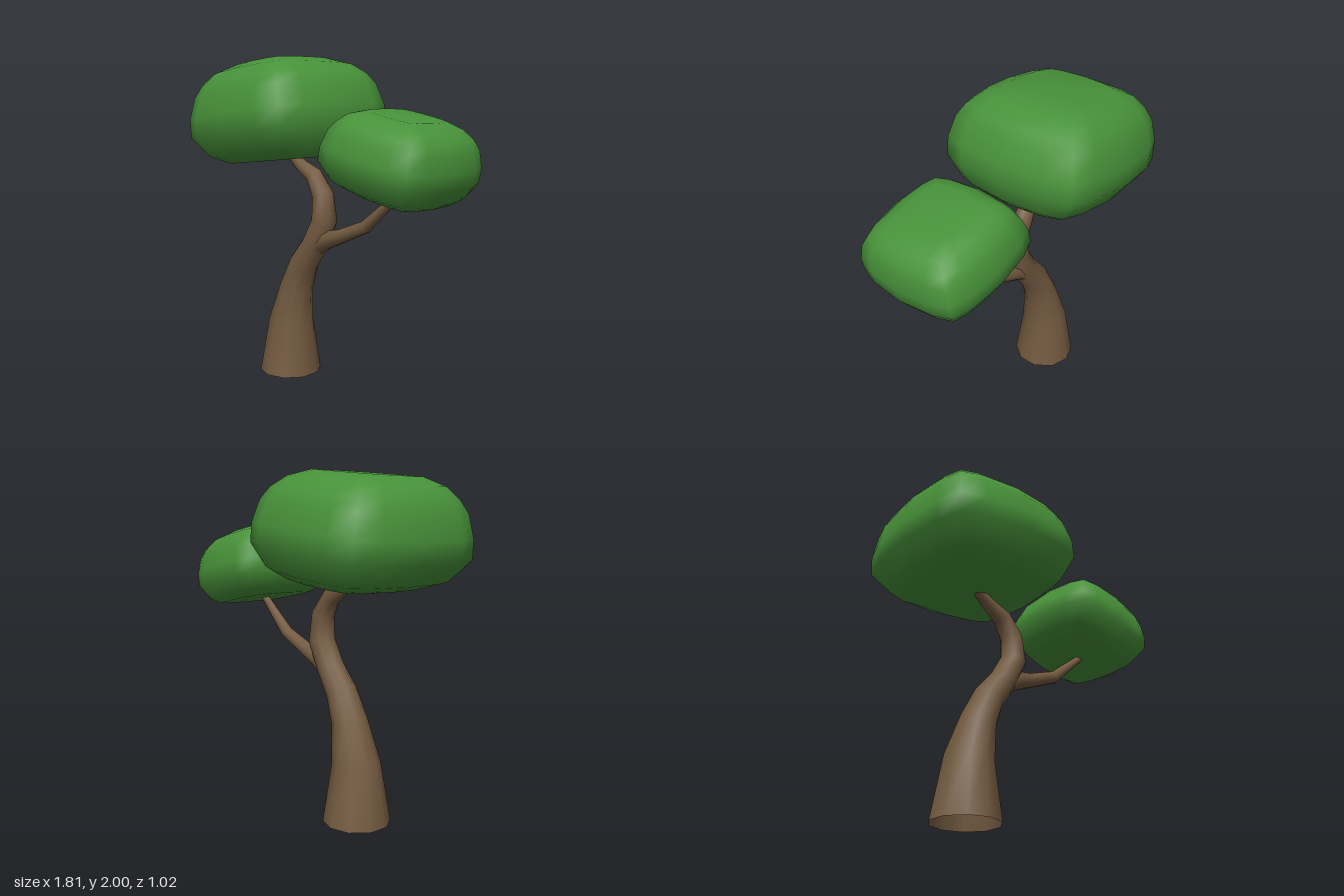
import * as THREE from 'three';

const bark = new THREE.MeshStandardMaterial({ color: 0x735a40, side: THREE.DoubleSide });
bark.name = 'bark brown';
const leaf = new THREE.MeshStandardMaterial({ color: 0x48923a });
leaf.name = 'leaf green';

// Skin a stack of equal-length rings (bottom to top) with smooth normals
function loft(rings) {
  const n = rings[0].length;
  const index = [];
  for (let i = 0; i < rings.length - 1; i++) {
    for (let j = 0; j < n; j++) {
      const k = (j + 1) % n;
      const a = i * n + j, b = i * n + k, c = a + n, d = b + n;
      index.push(a, b, d, a, d, c);
    }
  }
  const geometry = new THREE.BufferGeometry();
  geometry.setAttribute('position', new THREE.Float32BufferAttribute(rings.flat(2), 3));
  geometry.setIndex(index);
  geometry.computeVertexNormals();
  return geometry;
}

// Tapered limb along [x, y, radius] stations in the z = 0 plane
function limb(name, stations, sides, startUpright) {
  const rings = stations.map(([x, y, r], i) => {
    const p = stations[Math.max(i - 1, 0)];
    const q = stations[Math.min(i + 1, stations.length - 1)];
    const t = new THREE.Vector2(q[0] - p[0], q[1] - p[1]).normalize();
    if (i === 0 && startUpright) t.set(0, 1);
    return Array.from({ length: sides }, (_, j) => {
      const a = ((j + 0.5) / sides) * Math.PI * 2;
      const s = r * Math.cos(a);
      return [x + t.y * s, y - t.x * s, -r * Math.sin(a)];
    });
  });
  const mesh = new THREE.Mesh(loft(rings), bark);
  mesh.name = name;
  return mesh;
}

// Cushion-shaped leaf mass: a bulging square plan scaled up a rounded profile
function crown(name, x, y, size, tilt) {
  const quarter = [[1, 0], [0.945, 0.56], [0.845, 0.845], [0.56, 0.945]];
  const plan = [];
  for (let q = 0; q < 4; q++) {
    for (const [u, v] of quarter) {
      const [a, b] = [[u, v], [-v, u], [-u, -v], [v, -u]][q];
      plan.push([a, -b]);
    }
  }
  // [height, half width, x shift]
  const profile = [
    [-0.293, 0, 0.04], [-0.293, 0.335, 0.04], [-0.245, 0.425, 0.01],
    [-0.115, 0.512, -0.008], [0.0, 0.51, -0.005], [0.13, 0.475, -0.005],
    [0.2, 0.43, -0.005], [0.264, 0.36, -0.015], [0.307, 0.25, -0.015], [0.307, 0, -0.015],
  ];
  const rings = profile.map(([h, r, shift]) => plan.map(([u, v]) => [u * r + shift, h, v * r]));
  const mesh = new THREE.Mesh(loft(rings), leaf);
  mesh.name = name;
  mesh.position.set(x, y, 0);
  mesh.scale.setScalar(size);
  mesh.rotation.z = THREE.MathUtils.degToRad(tilt);
  return mesh;
}

export function createModel() {
  const tree = new THREE.Group();
  tree.name = 'tree';
  tree.add(
    // curved trunk, open at the ground
    limb('trunk', [
      [-0.39, 0, 0.197], [-0.38, 0.34, 0.143], [-0.322, 0.575, 0.106], [-0.25, 0.735, 0.092],
      [-0.145, 0.875, 0.081], [-0.065, 1.025, 0.079], [-0.078, 1.18, 0.067],
      [-0.155, 1.29, 0.054], [-0.27, 1.345, 0.04], [-0.37, 1.42, 0.03],
    ], 10, true),
    // side branch
    limb('branch', [
      [-0.11, 0.87, 0.06], [-0.04, 0.91, 0.058], [0.08, 0.947, 0.044],
      [0.28, 1.03, 0.038], [0.52, 1.235, 0.023], [0.58, 1.285, 0.016],
    ], 10, false),
    crown('largeCrown', -0.4, 1.67, 1, 6.3),
    crown('smallCrown', 0.54, 1.445, 0.725, -11.4),
  );
  return tree;
}
